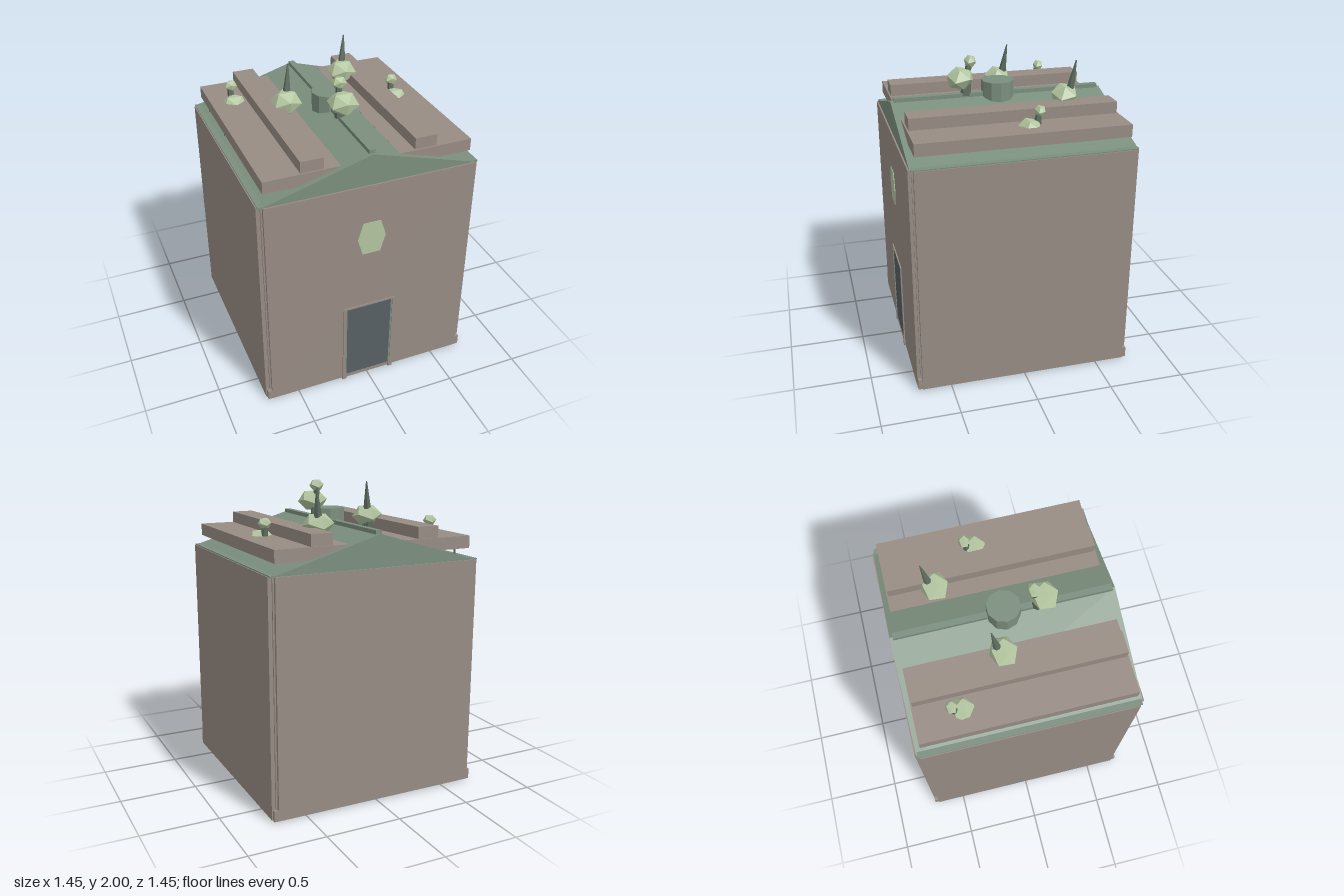
import * as THREE from 'three';

const paint = (name, color) => {
  const m = new THREE.MeshStandardMaterial({ color, flatShading: true });
  m.name = name;
  return m;
};

export function createModel() {
  const model = new THREE.Group();
  model.name = 'stoneHouse';
  const stone = paint('stone', 0x978c84);
  const roofGreen = paint('roofGreen', 0x7b8f7e);
  const leaf = paint('leaf', 0xb2c59f);
  const stemGreen = paint('stemGreen', 0x5c6c5f);
  const slate = paint('slate', 0x566063);

  const add = (name, geometry, material, parent = model) => {
    const mesh = new THREE.Mesh(geometry, material);
    mesh.name = name;
    parent.add(mesh);
    return mesh;
  };
  // Box given by its limits on each axis
  const box = (name, x0, x1, y0, y1, z0, z1, material) => {
    const mesh = add(name, new THREE.BoxGeometry(x1 - x0, y1 - y0, z1 - z0), material);
    mesh.position.set((x0 + x1) / 2, (y0 + y1) / 2, (z0 + z1) / 2);
    return mesh;
  };
  const extrude = (points, depth) => new THREE.ExtrudeGeometry(
    new THREE.Shape(points.map(([x, y]) => new THREE.Vector2(x, y))), { depth, bevelEnabled: false });

  // Walls: two crossing blocks leave a notch at each corner, filled by a post
  box('frontBackWalls', -0.69, 0.69, 0.01, 1.53, -0.72, 0.72, stone);
  box('sideWalls', -0.725, 0.725, 0.01, 1.529, -0.69, 0.69, stone);
  box('cornerPosts', -0.7, 0.7, 0.01, 1.528, -0.7, 0.7, stone);
  for (const sx of [-1, 1]) for (const sz of [-1, 1]) {
    const foot = box('cornerFoot', -0.0175, 0.0175, 0.01, 0.08, -0.0175, 0.0175, stone);
    foot.position.x = sx * 0.701;
    foot.position.z = sz * 0.701;
  }

  // Gabled roof, ridge beam and chimney
  const roof = add('gableRoof', extrude([[-0.7, 1.53], [0.7, 1.53], [0, 1.735]], 1.42), roofGreen);
  roof.position.z = -0.71;
  box('eaves', -0.718, 0.718, 1.528, 1.536, -0.705, 0.705, roofGreen);
  box('ridgeBeam', -0.02, 0.02, 1.68, 1.755, -0.69, 0.69, roofGreen);
  const chimney = add('chimney', new THREE.CylinderGeometry(0.107, 0.107, 0.2, 10), roofGreen);
  chimney.position.y = 1.73;
  chimney.rotation.y = Math.PI / 10;

  // Stepped stone slabs on both slopes
  for (const s of [-1, 1]) {
    const lower = box('lowerSlab', 0.19, 0.675, 1.6, 1.68, -0.675, 0.675, stone);
    const upper = box('upperSlab', 0.295, 0.44, 1.68, 1.755, -0.665, 0.665, stone);
    lower.position.x *= s;
    upper.position.x *= s;
  }
  for (const z of [-0.55, -0.18]) box('slabPeg', -0.655, -0.645, 1.53, 1.6, z - 0.005, z + 0.005, stemGreen);

  // Hexagonal front window
  const hex = [[-0.095, 1.15], [-0.06, 1.035], [0.06, 1.035], [0.095, 1.15], [0.06, 1.265], [-0.06, 1.265]];
  const window = add('hexWindow', extrude(hex, 0.005), leaf);
  window.position.z = 0.719;

  // Door with frame and base blocks
  box('doorPanel', -0.157, 0.157, 0.035, 0.612, 0.717, 0.723, slate);
  box('doorLintel', -0.185, 0.185, 0.61, 0.622, 0.7, 0.728, stone);
  for (const s of [-1, 1]) {
    const jamb = box('doorJamb', 0.166, 0.184, 0, 0.61, 0.7, 0.728, stone);
    const reveal = box('doorReveal', 0.156, 0.167, 0.035, 0.61, 0.71, 0.724, roofGreen);
    const block = box('doorBlock', 0.158, 0.187, 0, 0.075, 0.7, 0.729, stone);
    for (const part of [jamb, reveal, block]) part.position.x *= s;
  }
  box('doorSill', -0.157, 0.157, 0.01, 0.037, 0.71, 0.724, stone);

  // Roof plants: squashed bush on a leaning stem, with a bud or a bare spike
  const up = new THREE.Vector3(0, 1, 0);
  const stem = (parent, from, to, r0, r1) => {
    const a = new THREE.Vector3(...from), d = new THREE.Vector3(...to).sub(a);
    const mesh = add('stem', new THREE.CylinderGeometry(r1, r0, d.length(), 7), stemGreen, parent);
    mesh.position.copy(a).addScaledVector(d, 0.5);
    mesh.quaternion.setFromUnitVectors(up, d.normalize());
  };
  const blob = (name, parent, pos, scale) => {
    const mesh = add(name, new THREE.IcosahedronGeometry(1, 0), leaf, parent);
    mesh.position.set(...pos);
    mesh.scale.set(...scale);
    mesh.rotation.x = 0.2;
  };
  const plants = [
    [-0.52, 1.655, -0.375, 0.093, 'bud'], [0.515, 1.655, -0.065, 0.093, 'bud'],
    [0, 1.855, 0.25, 0.105, 'bud'],
    [0.255, 1.77, -0.375, 0.105, 'spike'], [-0.26, 1.77, -0.065, 0.105, 'spike'],
  ];
  for (const [x, y, z, r, kind] of plants) {
    const plant = new THREE.Group();
    plant.name = kind + 'Plant';
    plant.position.set(x, y, z);
    model.add(plant);
    blob('bush', plant, [0, 0, 0], [r, r * 0.72, r * 0.9]);
    if (kind === 'bud') {
      stem(plant, [-0.005, -0.115, -0.035], [-0.005, 0.1, -0.06], 0.036, 0.018);
      blob('bud', plant, [0, 0.108, -0.067], [r * 0.5, r * 0.4, r * 0.4]);
    } else {
      stem(plant, [0.0, -0.085, -0.015], [0.038, 0.23, -0.06], 0.042, 0.004);
    }
  }
  return model;
}
